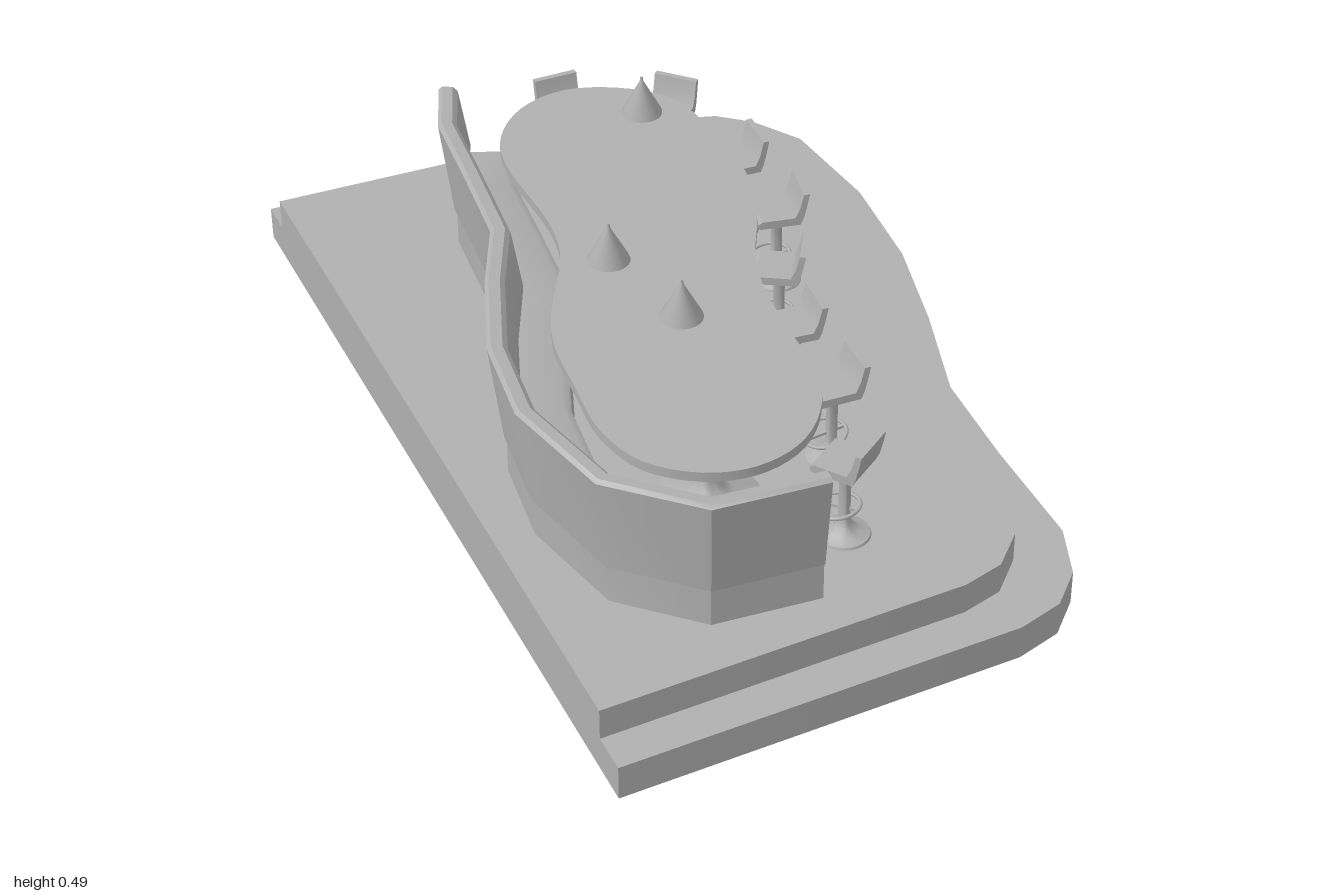
import * as THREE from 'three';
import { toCreasedNormals } from 'three/addons/utils/BufferGeometryUtils.js';

const grey = new THREE.MeshStandardMaterial({ color: 0xb0b0b0 });
grey.name = 'grey';

function add(parent, name, geometry, x = 0, y = 0, z = 0) {
  const mesh = new THREE.Mesh(geometry, grey);
  mesh.name = name;
  mesh.position.set(x, y, z);
  parent.add(mesh);
  return mesh;
}

// Flat slab from a plan outline of [x, z] points
function slab(points, height) {
  const shape = new THREE.Shape(points.map(([x, z]) => new THREE.Vector2(x, -z)));
  const geo = new THREE.ExtrudeGeometry(shape, { depth: height, bevelEnabled: false });
  return toCreasedNormals(geo.rotateX(-Math.PI / 2), 0.6);
}

// Sweep a closed [inward, height] profile along a plan path with mitred corners
function sweep(path, profile) {
  const dirs = path.slice(1).map(([x, z], i) =>
    new THREE.Vector2(x - path[i][0], z - path[i][1]).normalize());
  const pos = [], index = [], n = profile.length;
  path.forEach(([x, z], k) => {
    const a = dirs[Math.max(k - 1, 0)], b = dirs[Math.min(k, dirs.length - 1)];
    const t = a.clone().add(b).normalize();
    const stretch = 1 / t.dot(a);
    for (const [d, y] of profile) pos.push(x + t.y * d * stretch, y, z - t.x * d * stretch);
  });
  for (let k = 0; k < path.length - 1; k++) {
    for (let i = 0; i < n; i++) {
      const a = k * n + i, b = k * n + (i + 1) % n;
      index.push(a, b, b + n, a, b + n, a + n);
    }
  }
  const last = (path.length - 1) * n;
  const flat = profile.map(([d, y]) => new THREE.Vector2(d, y));
  for (const [a, b, c] of THREE.ShapeUtils.triangulateShape(flat, [])) {
    index.push(a, c, b, last + a, last + b, last + c);
  }
  const geo = new THREE.BufferGeometry();
  geo.setAttribute('position', new THREE.Float32BufferAttribute(pos, 3));
  geo.setIndex(index);
  return toCreasedNormals(geo, 0.6);
}

function lathe(points, sides = 24) {
  return toCreasedNormals(
    new THREE.LatheGeometry(points.map(([r, y]) => new THREE.Vector2(r, y)), sides), 0.7);
}

// Bar stool whose backrest points along local +x
function createStool() {
  const stool = new THREE.Group();
  stool.name = 'stool';
  add(stool, 'stoolPedestal', lathe([
    [0, 0], [0.055, 0], [0.053, 0.005], [0.03, 0.013], [0.017, 0.026], [0.012, 0.045],
    [0.012, 0.15], [0.028, 0.17], [0, 0.17],
  ]));
  const seat = new THREE.Shape([
    [-0.05, 0.168], [0.04, 0.168], [0.047, 0.185], [0.054, 0.215], [0.059, 0.243],
    [0.046, 0.243], [0.038, 0.208], [0.028, 0.186], [-0.045, 0.186], [-0.052, 0.18],
  ].map(([x, y]) => new THREE.Vector2(x, y)));
  add(stool, 'stoolSeatAndBack', toCreasedNormals(
    new THREE.ExtrudeGeometry(seat, { depth: 0.1, bevelEnabled: false }), 0.5), 0, 0, -0.05);
  const ring = add(stool, 'footRing',
    new THREE.TorusGeometry(0.045, 0.004, 8, 28).rotateX(Math.PI / 2), -0.015, 0.063, 0);
  ring.rotation.z = 0.15;
  const strut = add(stool, 'footRingStrut', new THREE.BoxGeometry(0.09, 0.006, 0.006), -0.015, 0.063, 0);
  strut.rotation.z = 0.15;
  return stool;
}

export function createModel() {
  const model = new THREE.Group();
  model.name = 'loungeBar';

  // Two-step platform
  add(model, 'lowerPlatform', slab([
    [-0.63, -1], [0.35, -0.97], [0.46, -0.935], [0.53, -0.875], [0.6, -0.76], [0.625, -0.5],
    [0.6, -0.24], [0.54, 0], [0.465, 0.24], [0.45, 0.48], [0.445, 0.75], [0.4, 0.87],
    [0.33, 0.94], [0.23, 0.97], [-0.63, 1],
  ], 0.077));
  add(model, 'upperPlatform', slab([
    [-0.63, -0.92], [0.23, -0.895], [0.35, -0.86], [0.43, -0.79], [0.495, -0.69],
    [0.525, -0.45], [0.5, -0.22], [0.43, 0.01], [0.365, 0.21], [0.345, 0.45], [0.34, 0.7],
    [0.31, 0.79], [0.24, 0.86], [0.15, 0.885], [-0.63, 0.915],
  ], 0.07), 0, 0.077);

  // Curved booth: plinth, cushion and leaning back
  const path = [
    [-0.3, -0.75], [-0.355, -0.61], [-0.375, -0.41], [-0.4, -0.19], [-0.475, -0.03],
    [-0.555, 0.185], [-0.582, 0.4], [-0.525, 0.66], [-0.36, 0.82], [-0.12, 0.84],
  ];
  add(model, 'boothPlinth', sweep(path, [
    [0.035, 0.147], [0.165, 0.147], [0.165, 0.235], [0.035, 0.235]]));
  add(model, 'boothSeat', sweep(path, [
    [0.035, 0.235], [0.168, 0.235], [0.172, 0.26], [0.166, 0.278], [0.15, 0.288], [0.04, 0.288]]));
  add(model, 'boothBack', sweep(path, [
    [0.004, 0.455], [0.03, 0.235], [0.045, 0.235], [0.065, 0.288], [0.067, 0.31],
    [0.05, 0.42], [0.045, 0.45], [0.035, 0.46], [0.012, 0.462]]));

  // Kidney-shaped table
  const outline = new THREE.CatmullRomCurve3([
    [-0.02, -0.71], [0.095, -0.67], [0.185, -0.585], [0.212, -0.47], [0.212, -0.25],
    [0.18, -0.12], [0.095, 0.05], [0.063, 0.16], [0.045, 0.32], [0.038, 0.46], [-0.02, 0.58],
    [-0.1, 0.65], [-0.2, 0.675], [-0.3, 0.65], [-0.39, 0.57], [-0.425, 0.45], [-0.415, 0.3],
    [-0.4, 0.16], [-0.36, 0.05], [-0.27, -0.12], [-0.246, -0.24], [-0.246, -0.48],
    [-0.215, -0.59], [-0.13, -0.68],
  ].map(([x, z]) => new THREE.Vector3(x, 0, z)), true);
  const rim = outline.getPoints(96).slice(0, -1).map((p) => [p.x, p.z]);
  add(model, 'tableTop', slab(rim, 0.022), 0, 0.38);
  for (const [x, z] of [[-0.02, -0.5], [-0.19, 0.44]]) {
    add(model, 'tableLeg', lathe([
      [0, 0], [0.11, 0], [0.1, 0.006], [0.05, 0.018], [0.028, 0.036], [0.02, 0.06],
      [0.02, 0.235], [0, 0.235]]), x, 0.147, z);
  }

  // Cone lamps
  for (const [x, z] of [[0.105, -0.555], [-0.185, -0.065], [-0.13, 0.178]]) {
    add(model, 'coneLamp', lathe([
      [0, 0], [0.045, 0], [0.044, 0.004], [0.004, 0.08], [0.003, 0.09], [0, 0.09]]), x, 0.402, z);
  }

  // Stools: x, z and outward direction
  for (const [x, z, dx, dz] of [
    [-0.005, -0.74, 0, -1], [0.205, -0.64, 0.72, -0.69], [0.26, -0.4, 1, 0.05],
    [0.258, -0.185, 1, 0.2], [0.17, 0.01, 0.84, 0.5], [0.105, 0.205, 1, 0.1],
    [0.09, 0.42, 1, 0.04], [0.005, 0.648, 0.57, 0.82],
  ]) {
    const stool = createStool();
    stool.position.set(x, 0.147, z);
    stool.rotation.y = Math.atan2(-dz, dx);
    model.add(stool);
  }
  return model;
}
